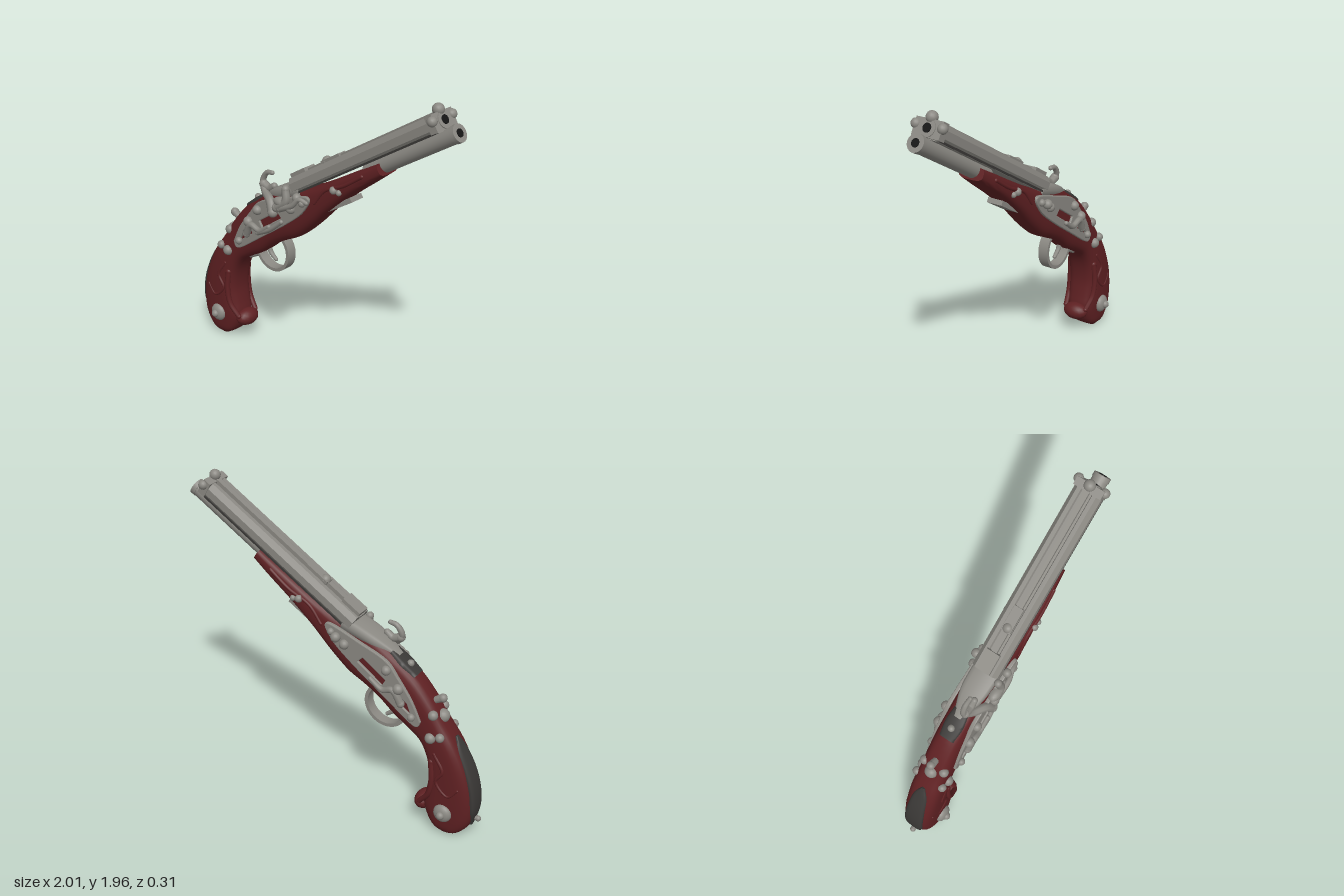
import * as THREE from 'three';
import { toCreasedNormals } from 'three/addons/utils/BufferGeometryUtils.js';

const mat = (name, color) => {
  const m = new THREE.MeshStandardMaterial({ color });
  m.name = name;
  return m;
};

export function createModel() {
  const steel = mat('steel', 0x8a8882);
  const wood = mat('red wood', 0x5e2022);
  const dark = mat('dark iron', 0x3a3836);
  const black = mat('bore black', 0x141414);
  const model = new THREE.Group();
  model.name = 'pistol';

  const add = (name, geo, m, x = 0, y = 0, z = 0, parent = model) => {
    const mesh = new THREE.Mesh(geo, m);
    mesh.name = name;
    mesh.position.set(x, y, z);
    parent.add(mesh);
    return mesh;
  };
  const ball = (name, x, y, z, r, parent = model, m = steel) =>
    add(name, new THREE.SphereGeometry(r, 16, 12), m, x, y, z, parent);
  const vec = p => new THREE.Vector3(p[0], p[1], p[2] || 0);

  // Tapering tube through a few points
  const tube = (name, pts, r0, r1, m = steel) => {
    const seg = 24, rad = 8;
    const curve = new THREE.CatmullRomCurve3(pts.map(vec));
    const geo = new THREE.TubeGeometry(curve, seg, 1, rad);
    const p = geo.attributes.position, v = new THREE.Vector3();
    for (let i = 0; i < p.count; i++) {
      const t = Math.floor(i / (rad + 1)) / seg, c = curve.getPointAt(t);
      v.fromBufferAttribute(p, i).sub(c).multiplyScalar(r0 + (r1 - r0) * t).add(c);
      p.setXYZ(i, v.x, v.y, v.z);
    }
    const mesh = add(name, geo, m);
    ball(name + 'Start', ...vec(pts[0]), r0, model, m);
    ball(name + 'End', ...vec(pts[pts.length - 1]), r1, model, m);
    return mesh;
  };

  // Rounded body through stations [topX, topY, bottomX, bottomY, halfWidth], muzzle to butt
  const loft = (stations, power = 0.62, rings = 60, n = 28) => {
    const top = new THREE.CatmullRomCurve3(stations.map(s => new THREE.Vector3(s[0], s[1], s[4])));
    const bot = new THREE.CatmullRomCurve3(stations.map(s => new THREE.Vector3(s[2], s[3], 0)));
    const pos = [], idx = [];
    const soft = a => Math.sign(a) * Math.pow(Math.abs(a), power);
    for (let i = 0; i <= rings; i++) {
      const T = top.getPoint(i / rings), B = bot.getPoint(i / rings);
      for (let j = 0; j < n; j++) {
        const a = j / n * Math.PI * 2, c = soft(Math.cos(a)) / 2;
        pos.push((T.x + B.x) / 2 + (T.x - B.x) * c, (T.y + B.y) / 2 + (T.y - B.y) * c, T.z * soft(Math.sin(a)));
        if (i < rings) {
          const k = (j + 1) % n, A = i * n + j, D = i * n + k;
          idx.push(A, A + n, D, D, A + n, D + n);
        }
      }
    }
    [0, rings].forEach(i => {
      const T = top.getPoint(i / rings), B = bot.getPoint(i / rings), c = pos.length / 3;
      pos.push((T.x + B.x) / 2, (T.y + B.y) / 2, 0);
      for (let j = 0; j < n; j++) {
        const A = i * n + j, D = i * n + (j + 1) % n;
        if (i) idx.push(c, D, A); else idx.push(c, A, D);
      }
    });
    const geo = new THREE.BufferGeometry();
    geo.setAttribute('position', new THREE.Float32BufferAttribute(pos, 3));
    geo.setIndex(idx);
    geo.computeVertexNormals();
    return toCreasedNormals(geo, 0.8);
  };

  // Wooden stock and grip
  add('stock', loft([
    [.49, 1.555, .53, 1.49, .08], [.36, 1.48, .43, 1.41, .088], [.2, 1.385, .29, 1.3, .092],
    [.05, 1.3, .125, 1.15, .092], [-.08, 1.24, .01, 1.03, .092], [-.2, 1.215, -.125, .91, .092],
    [-.3, 1.175, -.22, .86, .092], [-.42, 1.1, -.32, .8, .092], [-.555, 1, -.43, .71, .092],
    [-.675, .86, -.53, .65, .092], [-.755, .74, -.6, .6, .094], [-.835, .63, -.65, .51, .1],
    [-.91, .485, -.67, .38, .102], [-.955, .34, -.655, .27, .102], [-.965, .205, -.64, .19, .1],
    [-.945, .11, -.66, .12, .096], [-.885, .035, -.7, .055, .086], [-.83, .012, -.76, .012, .06],
  ]), wood);
  const beak = ball('gripBeak', -.63, .165, 0, 1, model, wood);
  beak.scale.set(.06, .055, .085);
  beak.rotation.z = -.3;

  // Dark backstrap, wrist strap and steel tang
  add('backstrap', loft([
    [-.82, .675, -.8, .66, .01], [-.86, .61, -.82, .59, .045], [-.925, .485, -.88, .47, .06],
    [-.968, .34, -.925, .335, .065], [-.976, .205, -.93, .21, .06], [-.952, .1, -.91, .12, .03],
  ], .62, 24, 16), dark);
  add('wristStrap', loft([
    [-.4, 1.125, -.37, 1.08, .05], [-.48, 1.07, -.45, 1.02, .06], [-.56, 1.008, -.53, .97, .05],
  ], .5, 12, 16), dark);
  add('tang', loft([
    [-.1, 1.27, -.07, 1.19, .085], [-.2, 1.235, -.17, 1.16, .085],
    [-.31, 1.185, -.28, 1.12, .075], [-.44, 1.1, -.41, 1.05, .03],
  ], .5, 14, 16), steel);

  // Barrel assembly in its own slanted frame: x along the bore, y across
  const bore = new THREE.Group();
  bore.name = 'barrelAssembly';
  bore.rotation.z = 0.5586;
  model.add(bore);
  const section = new THREE.Shape([
    [-.065, 1.08], [.065, 1.08], [.085, 1.105], [.085, 1.15], [.06, 1.182], [.036, 1.182], [.03, 1.168],
    [-.03, 1.168], [-.036, 1.182], [-.06, 1.182], [-.085, 1.15], [-.085, 1.105],
  ].map(p => new THREE.Vector2(...p)));
  const along = (shape, length) =>
    new THREE.ExtrudeGeometry(shape, { depth: length, bevelEnabled: false }).rotateY(Math.PI / 2);
  add('upperBarrel', along(section, 1.2), steel, .53, 0, 0, bore);
  add('topRib', new THREE.BoxGeometry(1.15, .03, .034), steel, 1.13, 1.178, 0, bore);
  const cyl = (name, r0, r1, len, m, u, v, z) =>
    add(name, new THREE.CylinderGeometry(r0, r1, len, 24).rotateZ(-Math.PI / 2), m, u, v, z, bore);
  cyl('lowerBarrel', .048, .048, .7, steel, 1.45, 1.04, 0);
  cyl('lowerMuzzleRing', .052, .052, .03, steel, 1.79, 1.04, 0);
  cyl('lowerBore', .024, .024, .004, black, 1.806, 1.04, 0);
  cyl('upperMuzzle', .05, .05, .05, steel, 1.725, 1.135, 0);
  cyl('upperBore', .026, .026, .004, black, 1.751, 1.135, 0);
  add('muzzleBand', new THREE.BoxGeometry(.05, .1, .176), steel, 1.72, 1.135, 0, bore);
  ball('frontSight', 1.735, 1.197, 0, .034, bore);
  for (const s of [1, -1]) {
    ball('muzzleStud', 1.735, 1.148, s * .085, .029, bore);
    add('barrelSeam', new THREE.BoxGeometry(1.16, .012, .004), dark, 1.14, 1.086, s * .08, bore);
  }
  add('rearSight', new THREE.BoxGeometry(.13, .03, .09), steel, .6, 1.19, 0, bore);
  ball('middleSight', .825, 1.185, 0, .032, bore);
  add('midRib', new THREE.BoxGeometry(.16, .02, .06), steel, .88, 1.19, 0, bore);
  add('undersidePlate', new THREE.BoxGeometry(.21, .03, .1), steel, .82, .928, 0, bore);

  // Trigger guard and trigger
  const ring = new THREE.Shape().absarc(0, 0, .142, 0, Math.PI * 2);
  ring.holes.push(new THREE.Path().absarc(0, 0, .121, 0, Math.PI * 2, true));
  add('triggerGuard', toCreasedNormals(new THREE.ExtrudeGeometry(ring,
    { depth: .066, bevelEnabled: false, curveSegments: 32 }), .5), steel, -.36, .745, -.033);
  tube('guardTail', [[-.48, .68], [-.53, .65], [-.58, .62]], .018, .012);
  tube('trigger', [[-.4, .85], [-.415, .77], [-.4, .71], [-.355, .67]], .024, .012);

  // Lock plates, pierced so the wood shows through
  const plate = new THREE.Shape();
  plate.moveTo(-.62, .75);
  plate.splineThru([[-.56, .87], [-.47, .99], [-.39, 1.08], [-.23, 1.145], [0, 1.22], [-.04, 1.12],
    [-.18, 1], [-.39, .85], [-.58, .72], [-.62, .75]].map(p => new THREE.Vector2(...p)));
  plate.holes.push(new THREE.Path([[-.37, .91], [-.2, 1.03], [-.24, 1.07], [-.4, .96]].map(p => new THREE.Vector2(...p))));
  plate.holes.push(new THREE.Path([[-.57, .77], [-.45, .85], [-.47, .9], [-.54, .85]].map(p => new THREE.Vector2(...p))));
  const plateGeo = new THREE.ExtrudeGeometry(plate,
    { depth: .014, bevelEnabled: true, bevelSize: .006, bevelThickness: .006, bevelSegments: 2 });
  for (const s of [1, -1]) {
    add('lockPlate', plateGeo, steel, 0, 0, s > 0 ? .086 : -.1);
    tube('lockScroll', [[-.5, .84, s * .11], [-.45, .92, s * .12], [-.38, .9, s * .115], [-.3, .95, s * .115]], .024, .014);
    for (const [x, y, r] of [[-.57, .77, .024], [-.48, .93, .033], [-.4, 1.03, .03], [-.12, 1.12, .03], [-.03, 1.18, .022]])
      ball('lockScrew', x, y, s * .11, r);
    // Paired studs and grip medallions
    for (const [x, y, r] of [[-.75, .68, .027], [-.69, .66, .033], [.2, 1.325, .024], [.24, 1.32, .018]])
      ball('stockStud', x, y, s * .093, r);
    ball('medallion', -.795, .175, s * .1, .058).scale.z = .6;
    ball('medallionBoss', -.795, .175, s * .13, .025);
    // Carved relief on the wood
    tube('carvedScroll', [[-.72, .56, s * .09], [-.78, .46, s * .098], [-.74, .38, s * .098], [-.82, .3, s * .098],
      [-.88, .36, s * .096]], .014, .008, wood);
    tube('carvedLeaf', [[-.7, .5, s * .085], [-.71, .38, s * .093], [-.69, .27, s * .09], [-.63, .19, s * .075]], .02, .016, wood);
    tube('carvedVine', [[.4, 1.46, s * .083], [.27, 1.37, s * .089], [.13, 1.3, s * .088], [.05, 1.2, s * .09]], .013, .01, wood);
  }

  // Firing mechanism on the lock side
  tube('hammer', [[-.345, 1.265, .03], [-.39, 1.255, .03], [-.42, 1.2, .035], [-.38, 1.145, .06], [-.3, 1.12, .1], [-.26, 1.06, .12]], .014, .032);
  tube('hammerJaw', [[-.41, 1.18, .04], [-.36, 1.165, .04], [-.32, 1.19, .04]], .028, .02);
  tube('frizzen', [[-.17, 1.23, .1], [-.16, 1.16, .11], [-.23, 1.1, .115]], .024, .03);
  tube('frizzenSpring', [[-.2, 1.1, .12], [-.1, 1.15, .125], [-.05, 1.2, .115], [.0, 1.19, .105]], .02, .014);
  tube('lockSpring', [[-.2, 1.01, .11], [-.3, .93, .115], [-.4, .88, .11]], .014, .018);
  const pan = ball('pan', -.2, 1.14, .105, .045);
  pan.scale.set(1.3, .7, .8);
  ball('frontScrew', -.08, 1.2, .1, .028);
  ball('panScrew', -.07, 1.16, -.125, .03);

  // Studs along the back of the grip
  ball('wristKnob', -.72, .775, 0, .042);
  tube('wristPost', [[-.64, .84], [-.68, .87], [-.715, .89]], .018, .026);
  for (const s of [1, -1]) ball('wristSideStud', -.69, .8, s * .07, .03);
  ball('tangScrew', -.5, 1.055, 0, .022);
  tube('buttStud', [[-.94, .15], [-.96, .148], [-.982, .146]], .012, .018);
  return model;
}
